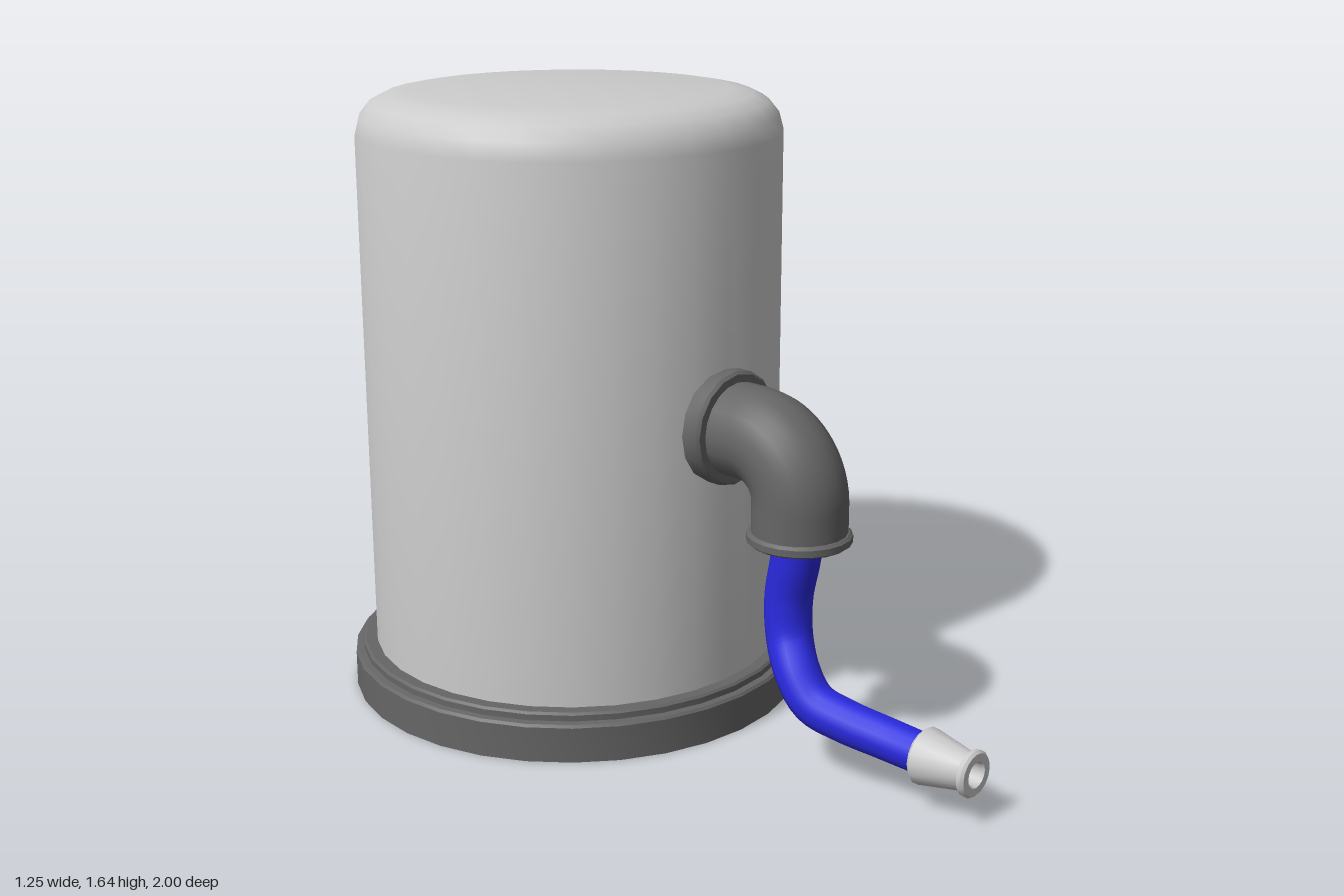
import * as THREE from 'three';
import { toCreasedNormals } from 'three/addons/utils/BufferGeometryUtils.js';

const V = (x, y, z) => new THREE.Vector3(x, y, z);

export function createModel() {
  const model = new THREE.Group();
  const light = new THREE.MeshStandardMaterial({ color: 0xcccccc });
  const dark = new THREE.MeshStandardMaterial({ color: 0x666666 });
  const blue = new THREE.MeshStandardMaterial({ color: 0x2a2ae0 });

  const add = (name, geometry, material, x = 0, y = 0, z = 0) => {
    const mesh = new THREE.Mesh(geometry, material);
    mesh.name = name;
    mesh.position.set(x, y, z);
    model.add(mesh);
    return mesh;
  };
  // Turned part; profile pairs are [radius, height]
  const turned = (profile, sides, crease = 0.7) => toCreasedNormals(
    new THREE.LatheGeometry(profile.map(([r, y]) => new THREE.Vector2(r, y)), sides), crease);

  const tankZ = -0.375;
  const pipeX = -0.005;

  // Tank with a rounded shoulder
  add('tank', turned([
    [0.565, 0.1], [0.565, 1.53], [0.553, 1.575], [0.525, 1.61],
    [0.485, 1.63], [0.43, 1.64], [0, 1.64],
  ], 32), light, 0, 0, tankZ);

  // Stepped base, recessed underneath
  add('base', turned([
    [0, 0.063], [0.507, 0.063], [0.575, 0.063], [0.575, 0], [0.625, 0],
    [0.625, 0.095], [0.619, 0.102], [0.602, 0.104], [0.602, 0.12],
    [0.596, 0.126], [0.56, 0.126],
  ], 32), dark, 0, 0, tankZ);

  // Collar where the pipe meets the tank
  const collar = turned([
    [0, 0], [0.15, 0], [0.15, 0.045], [0.143, 0.053], [0.11, 0.053],
  ], 16).rotateX(Math.PI / 2);
  add('pipeCollar', collar, dark, pipeX, 0.83, 0.178);

  // Elbow pipe: forward, then down
  const bend = 0.15, k = bend * 0.552;
  const endZ = 0.44, topY = 0.83;
  const path = new THREE.CurvePath();
  path.add(new THREE.LineCurve3(V(0, topY, 0.18), V(0, topY, endZ - bend)));
  path.add(new THREE.CubicBezierCurve3(
    V(0, topY, endZ - bend), V(0, topY, endZ - bend + k),
    V(0, topY - bend + k, endZ), V(0, topY - bend, endZ)));
  path.add(new THREE.LineCurve3(V(0, topY - bend, endZ), V(0, 0.595, endZ)));
  add('elbowPipe', new THREE.TubeGeometry(path, 28, 0.122, 20), dark, pipeX);

  // Lip at the lower end of the elbow
  add('elbowLip', turned([
    [0, 0], [0.126, 0], [0.134, 0.006], [0.134, 0.023], [0.126, 0.03], [0.11, 0.03],
  ], 20), dark, pipeX, 0.579, endZ);

  // Flexible hose
  const hose = new THREE.CatmullRomCurve3([
    V(-0.02, 0.6, 0.45), V(-0.02, 0.53, 0.44), V(-0.018, 0.43, 0.42),
    V(-0.025, 0.33, 0.43), V(-0.05, 0.25, 0.48), V(-0.057, 0.19, 0.54),
    V(-0.045, 0.165, 0.63), V(-0.02, 0.145, 0.74), V(-0.008, 0.133, 0.87),
  ]);
  const hoseGeometry = new THREE.TubeGeometry(hose, 40, 0.062, 14);
  // Slight taper toward the nozzle
  const pos = hoseGeometry.attributes.position;
  for (let ring = 0; ring <= 40; ring++) {
    const t = ring / 40, centre = hose.getPointAt(t), scale = 1.04 - 0.2 * t;
    for (let j = 0; j <= 14; j++) {
      const i = ring * 15 + j;
      const p = V(0, 0, 0).fromBufferAttribute(pos, i).sub(centre).multiplyScalar(scale).add(centre);
      pos.setXYZ(i, p.x, p.y, p.z);
    }
  }
  hoseGeometry.computeVertexNormals();
  add('hose', hoseGeometry, blue);

  // Tapered nozzle with a flared, hollow tip
  const nozzle = turned([
    [0, 0], [0.066, 0], [0.073, 0.008], [0.048, 0.132], [0.058, 0.138],
    [0.06, 0.15], [0.054, 0.157], [0.034, 0.157], [0.03, 0.15], [0.028, 0.09], [0, 0.09],
  ], 16).rotateX(Math.PI / 2);
  add('nozzle', nozzle, light, -0.007, 0.132, 0.843);

  return model;
}
